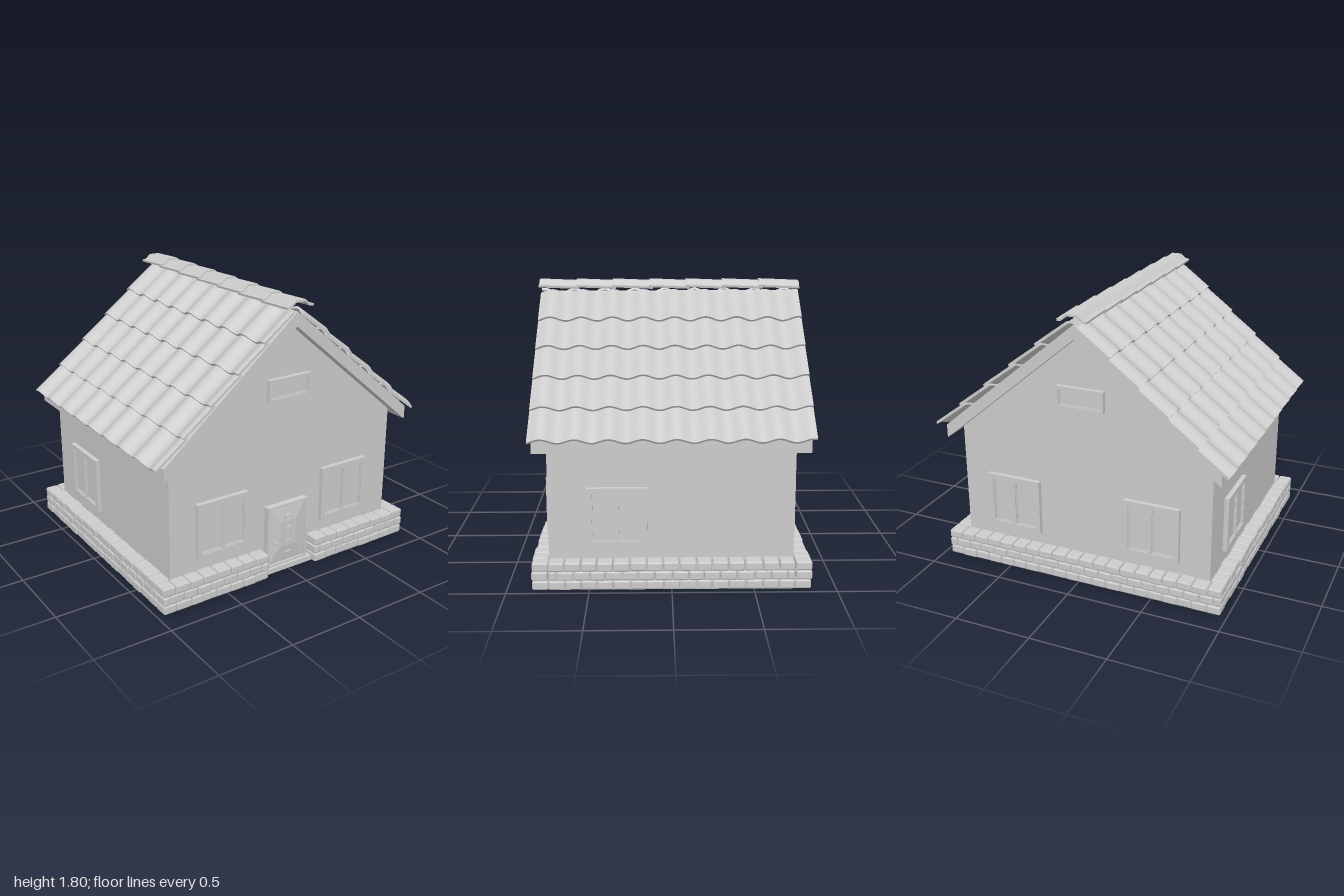
import * as THREE from 'three';
import { toCreasedNormals } from 'three/addons/utils/BufferGeometryUtils.js';
import { RoundedBoxGeometry } from 'three/addons/geometries/RoundedBoxGeometry.js';

const grey = new THREE.MeshStandardMaterial({ color: 0xcccccc });

function add(parent, name, geometry, x = 0, y = 0, z = 0) {
  const mesh = new THREE.Mesh(geometry, grey);
  mesh.name = name;
  mesh.position.set(x, y, z);
  parent.add(mesh);
  return mesh;
}

function group(parent, name) {
  const g = new THREE.Group();
  g.name = name;
  parent.add(g);
  return g;
}

const polygon = (points) => new THREE.Shape(points.map(([x, y]) => new THREE.Vector2(x, y)));
const extrude = (shape, depth) => new THREE.ExtrudeGeometry(shape, { depth, bevelEnabled: false });
const rect = (x0, y0, x1, y1) => [[x0, y0], [x1, y0], [x1, y1], [x0, y1]];

let seed = 7;
const jitter = (size) => {
  seed = (seed * 16807) % 2147483647;
  return (seed / 2147483647 - 0.5) * 2 * size;
};

// Framed window facing +z, with its back on z = 0
function makeWindow(parent, name, w, h, panes, border) {
  const g = group(parent, name);
  const shape = polygon(rect(-w / 2, -h / 2, w / 2, h / 2));
  const mullion = 0.016;
  const pw = (w - 2 * border - (panes - 1) * mullion) / panes;
  for (let i = 0; i < panes; i++) {
    const x = -w / 2 + border + i * (pw + mullion);
    shape.holes.push(polygon(rect(x, -h / 2 + border, x + pw, h / 2 - border)));
    // thin sash inside each opening
    const sash = polygon(rect(x, -h / 2 + border, x + pw, h / 2 - border));
    sash.holes.push(polygon(rect(x + 0.007, -h / 2 + border + 0.007, x + pw - 0.007, h / 2 - border - 0.007)));
    add(g, 'sash', extrude(sash, 0.022));
  }
  add(g, 'windowFrame', extrude(shape, 0.03));
  add(g, 'glass', new THREE.BoxGeometry(w - border, h - border, 0.014), 0, 0, 0.007);
  return g;
}

// Three courses of rounded stones from (x0, z0) to (x1, z1)
function stoneRun(parent, x0, z0, x1, z1) {
  const length = Math.hypot(x1 - x0, z1 - z0);
  const run = group(parent, 'stoneRun');
  run.position.set((x0 + x1) / 2, 0, (z0 + z1) / 2);
  run.rotation.y = -Math.atan2(z1 - z0, x1 - x0);
  const n = Math.round(length / 0.097), size = length / n;
  for (let row = 0; row < 3; row++) {
    const edges = [-length / 2];
    const shift = row === 1 ? 0.5 : 0;
    for (let i = 1; i < n + (shift ? 1 : 0); i++) {
      edges.push(-length / 2 + (i - shift) * size + jitter(0.006));
    }
    edges.push(length / 2);
    for (let i = 0; i < edges.length - 1; i++) {
      const w = edges[i + 1] - edges[i] - 0.003;
      const stone = new RoundedBoxGeometry(w, 0.056, 0.1, 1, 0.011);
      add(run, 'stone', stone, (edges[i] + edges[i + 1]) / 2, 0.029 + row * 0.0585 + jitter(0.001), jitter(0.004));
    }
  }
  add(run, 'mortar', new THREE.BoxGeometry(length - 0.03, 0.16, 0.08), 0, 0.08, 0);
}

// Wavy cross-section of one tile course, across the roof
function tileShape() {
  const top = [], bottom = [], steps = 102;
  for (let i = 0; i <= steps; i++) {
    const z = -0.85 + (1.7 * i) / steps;
    const wave = 0.017 * Math.cos(((z - 0.17) / 0.2) * Math.PI * 2);
    bottom.push([z, wave]);
    top.unshift([z, wave + 0.015]);
  }
  return polygon([...bottom, ...top]);
}

export function createModel() {
  const house = new THREE.Group();
  house.name = 'house';

  // Walls with gables
  const wall = polygon([[-0.855, 0.01], [0.855, 0.01], [0.855, 0.95], [0, 1.67], [-0.855, 0.95]]);
  add(house, 'walls', extrude(wall, 1.5), 0, 0, -0.75);

  // Floor and stone plinth, open at the door
  add(house, 'floor', new THREE.BoxGeometry(1.88, 0.034, 1.62), 0, 0.017, 0);
  const plinth = group(house, 'plinth');
  stoneRun(plinth, -0.96, 0.8, -0.185, 0.8);
  stoneRun(plinth, 0.185, 0.8, 0.96, 0.8);
  stoneRun(plinth, 0.96, -0.8, -0.96, -0.8);
  stoneRun(plinth, 0.907, 0.75, 0.907, -0.75);
  stoneRun(plinth, -0.907, -0.75, -0.907, 0.75);

  // Roof slab
  const slab = polygon([[0, 1.72], [-0.93, 0.94], [-0.93, 0.85], [0, 1.63], [0.93, 0.85], [0.93, 0.94]]);
  add(house, 'roofSlab', extrude(slab, 1.66), 0, 0, -0.83);

  // Overlapping tile courses on both slopes
  const slope = Math.atan(0.839), step = 0.242;
  const course = toCreasedNormals(extrude(tileShape(), 0.26), 0.5);
  for (const turn of [0, Math.PI]) {
    const side = group(house, 'roofTiles');
    side.rotation.y = turn;
    for (let k = 0; k < 5; k++) {
      const a = slope - 0.06;
      const tile = add(side, 'tileCourse', course,
        0.98 - k * step * Math.cos(slope), 0.93 + k * step * Math.sin(slope), 0);
      tile.quaternion.setFromRotationMatrix(new THREE.Matrix4().makeBasis(
        new THREE.Vector3(0, 0, 1),
        new THREE.Vector3(Math.sin(a), Math.cos(a), 0),
        new THREE.Vector3(-Math.cos(a), Math.sin(a), 0)));
    }
  }

  // Ridge caps, front ends raised over the cap before
  const capTop = [[-0.098, 0], [-0.07, 0.004], [-0.035, 0.034], [0.035, 0.034], [0.07, 0.004], [0.098, 0]];
  const capBottom = capTop.map(([x, y]) => [x * 0.97, y - 0.014]).reverse();
  const cap = extrude(polygon([...capTop, ...capBottom]), 0.265);
  const ridge = group(house, 'ridge');
  for (let i = 0; i < 7; i++) {
    add(ridge, 'ridgeCap', cap, 0, 1.752, -0.855 + i * 0.241).rotation.x = -0.04;
  }

  // Windows: each pair of opposite walls is the same, turned half round
  for (const turn of [0, Math.PI]) {
    const face = group(house, turn ? 'backWindows' : 'frontWindows');
    face.rotation.y = turn;
    makeWindow(face, 'window', 0.37, 0.37, 2, 0.032).position.set(0.47, 0.435, 0.75);
    makeWindow(face, 'window', 0.37, 0.37, 2, 0.032).position.set(-0.487, 0.435, 0.75);
    makeWindow(face, 'gableWindow', 0.315, 0.14, 1, 0.014).position.set(0, 1.235, 0.75);
    const sideWindow = makeWindow(face, 'sideWindow', 0.37, 0.37, 2, 0.032);
    sideWindow.position.set(0.855, 0.435, 0.33);
    sideWindow.rotation.y = Math.PI / 2;
  }

  // Door with sloped panel, three small lights and a knob
  const door = group(house, 'door');
  door.position.set(0, 0.247, 0.75);
  const frame = polygon(rect(-0.158, -0.213, 0.158, 0.213));
  frame.holes.push(polygon(rect(-0.143, -0.2, 0.143, 0.2)));
  add(door, 'doorFrame', extrude(frame, 0.042));
  add(door, 'doorLeaf', new THREE.BoxGeometry(0.3, 0.41, 0.03), 0, 0, 0.015);
  const panel = new THREE.CylinderGeometry(0.45 * Math.SQRT1_2, Math.SQRT1_2, 1, 4).rotateY(Math.PI / 4)
    .rotateX(Math.PI / 2).scale(0.28, 0.39, 0.014).toNonIndexed();
  panel.computeVertexNormals();
  add(door, 'doorPanel', panel, 0, 0, 0.037);
  for (let i = -1; i <= 1; i++) {
    const light = polygon(rect(-0.029, -0.044, 0.029, 0.044));
    light.holes.push(polygon(rect(-0.023, -0.038, 0.023, 0.038)));
    add(door, 'doorLight', extrude(light, 0.02), 0, i * 0.09, 0.03);
  }
  const stem = new THREE.CylinderGeometry(0.004, 0.004, 0.05, 10).rotateX(Math.PI / 2);
  add(door, 'knobStem', stem, -0.11, -0.028, 0.05);
  add(door, 'knob', new THREE.SphereGeometry(0.008, 12, 8), -0.11, -0.028, 0.075);

  return house;
}
